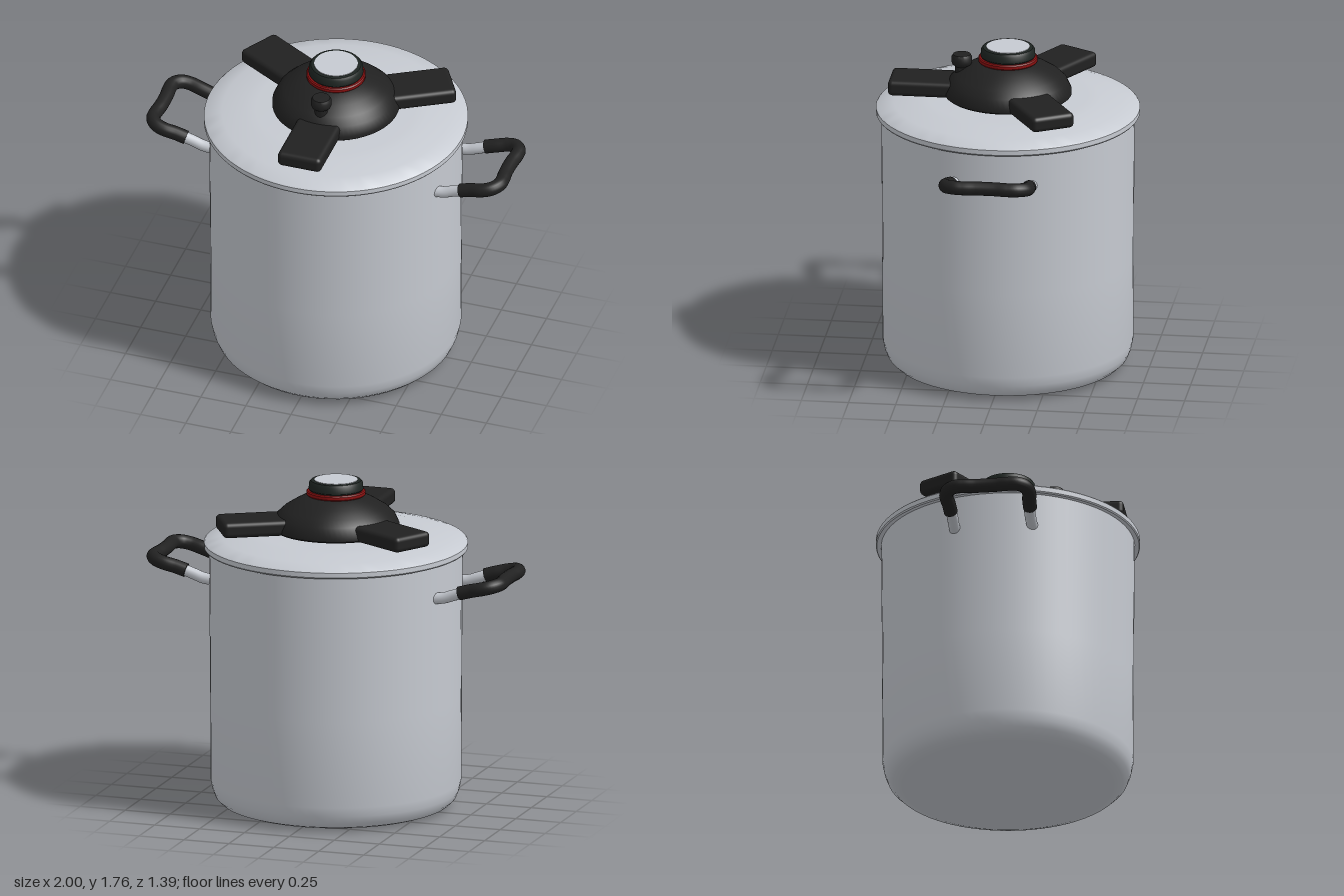
import * as THREE from 'three';
import { toCreasedNormals } from 'three/addons/utils/BufferGeometryUtils.js';
import { RoundedBoxGeometry } from 'three/addons/geometries/RoundedBoxGeometry.js';

const material = (name, color) => {
  const m = new THREE.MeshStandardMaterial({ color });
  m.name = name;
  return m;
};

export function createModel() {
  const steel = material('brushed steel', 0xc6cad1);
  const black = material('black plastic', 0x212121);
  const collar = material('dark green grey', 0x1d2421);
  const red = material('red ring', 0x8a1010);

  const model = new THREE.Group();
  model.name = 'pressureCooker';

  const add = (name, geometry, mat, parent = model) => {
    const mesh = new THREE.Mesh(geometry, mat);
    mesh.name = name;
    parent.add(mesh);
    return mesh;
  };
  // Turned part from [radius, height] pairs listed from bottom to top
  const turned = (points, crease = 0.6, segments = 72) => toCreasedNormals(
    new THREE.LatheGeometry(points.map(([r, y]) => new THREE.Vector2(r, y)), segments), crease);

  // Pot body with rounded foot
  add('potBody', turned([[0, 0], [0.5, 0], [0.56, 0.006], [0.605, 0.022], [0.634, 0.05],
    [0.65, 0.09], [0.66, 0.14], [0.662, 0.6], [0.667, 1.4], [0.667, 1.42]], 0.9), steel);

  // Lid with overhanging rim and gently sloped shoulder
  add('lid', turned([[0, 1.4], [0.66, 1.39], [0.69, 1.39], [0.695, 1.397], [0.695, 1.423],
    [0.688, 1.43], [0.6, 1.452], [0.48, 1.475], [0.42, 1.479], [0, 1.479]]), steel);

  // Central locking hub
  add('hub', turned([[0, 1.492], [0.325, 1.492], [0.335, 1.5], [0.335, 1.52], [0.312, 1.57],
    [0.275, 1.605], [0.22, 1.64], [0.15, 1.677], [0, 1.68]]), black);
  add('redRing', turned([[0, 1.675], [0.15, 1.675], [0.156, 1.682], [0.156, 1.697],
    [0.15, 1.703], [0, 1.703]]), red);
  add('dial', turned([[0, 1.7], [0.138, 1.7], [0.144, 1.71], [0.142, 1.742], [0.132, 1.755],
    [0.116, 1.757], [0, 1.757]]), collar);
  add('dialCap', new THREE.CylinderGeometry(0.115, 0.115, 0.006, 48), steel).position.y = 1.757;

  // Pressure valve on the front of the hub
  const valve = add('valve', turned([[0, 1.58], [0.035, 1.58], [0.035, 1.638], [0.05, 1.65],
    [0.055, 1.665], [0.055, 1.688], [0.046, 1.704], [0, 1.706]], 0.7, 32), black);
  valve.position.z = 0.245;

  // Three locking arms
  for (let i = 0; i < 3; i++) {
    const arm = new THREE.Group();
    arm.name = 'lockingArm' + (i + 1);
    arm.rotation.y = i * Math.PI * 2 / 3;
    model.add(arm);
    add('armPaddle', new RoundedBoxGeometry(0.24, 0.083, 0.425, 4, 0.025), black, arm)
      .position.set(0, 1.533, 0.4125);
  }

  // Side handles: a bent grip carried by two steel stubs
  const vec = (p) => new THREE.Vector3(...p);
  const half = [[0.76, 1.252, 0.21], [0.82, 1.27, 0.213], [0.88, 1.285, 0.219],
    [0.928, 1.296, 0.205], [0.958, 1.302, 0.165], [0.962, 1.302, 0.115], [0.956, 1.302, 0.05]];
  const path = [...half, ...half.map(([x, y, z]) => [x, y, -z]).reverse()];
  for (const side of [1, -1]) {
    const handle = new THREE.Group();
    handle.name = side > 0 ? 'leftHandle' : 'rightHandle';
    if (side < 0) handle.rotation.y = Math.PI;
    model.add(handle);

    const curve = new THREE.CatmullRomCurve3(path.map(vec));
    add('grip', new THREE.TubeGeometry(curve, 80, 0.037, 16), black, handle);
    for (const t of [0, 1]) {
      const cap = add('gripEnd', new THREE.CircleGeometry(0.037, 16), black, handle);
      const outward = curve.getTangentAt(t).multiplyScalar(t ? 1 : -1);
      cap.position.copy(curve.getPointAt(t));
      cap.quaternion.setFromUnitVectors(new THREE.Vector3(0, 0, 1), outward);
    }
    for (const z of [0.205, -0.205]) {
      const stub = new THREE.CatmullRomCurve3([[0.62, 1.212, z], [0.67, 1.219, z],
        [0.72, 1.236, z], [0.79, 1.261, z * 1.03]].map(vec));
      add('stub', new THREE.TubeGeometry(stub, 16, 0.03, 16), steel, handle);
    }
  }
  return model;
}
